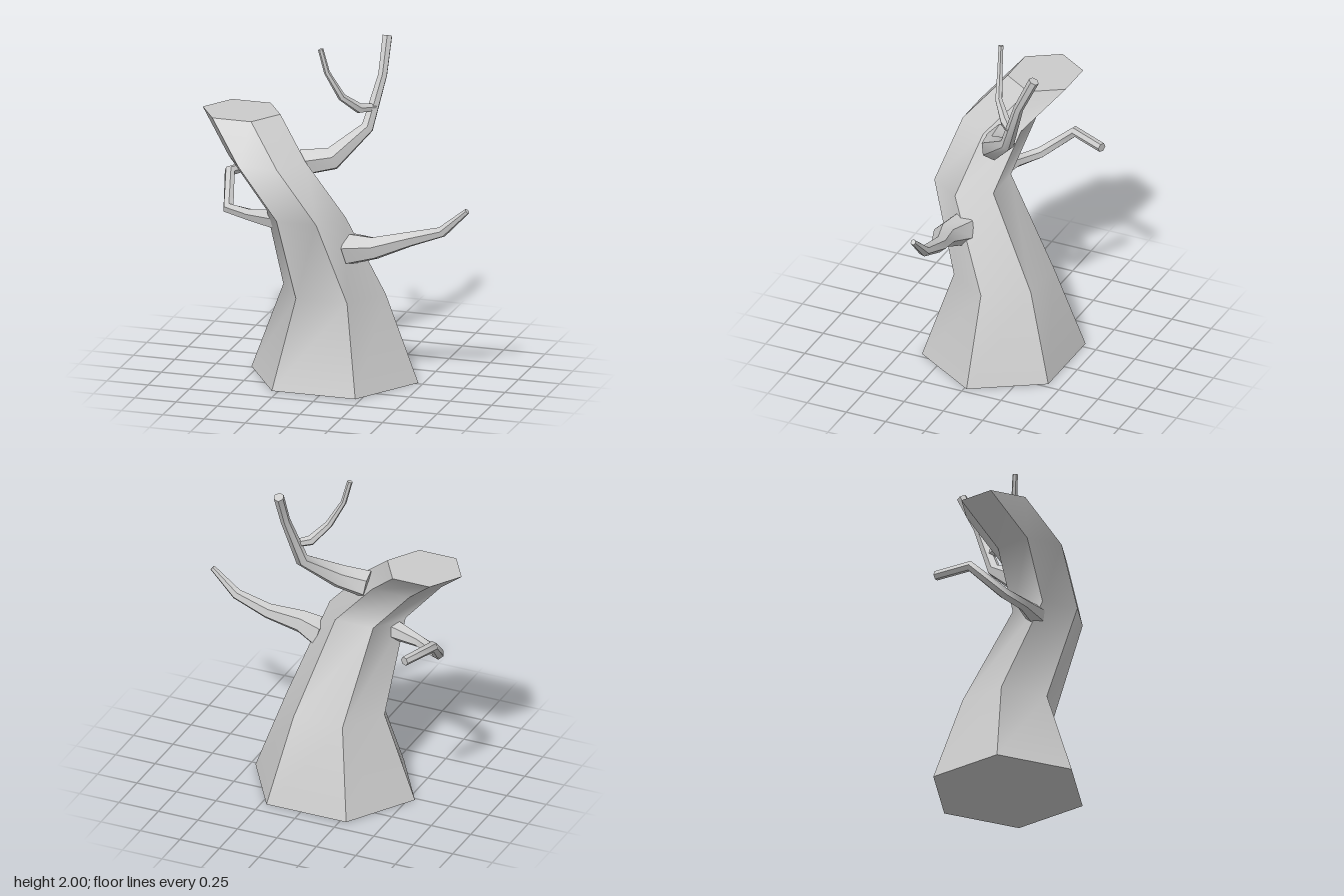
import * as THREE from 'three';

const SIDES = 6;
const material = new THREE.MeshStandardMaterial({ color: 0xcccccc });

// Skin a stack of rings: smooth along the length, hard edges between the sides, capped ends.
function loft(name, rings) {
  const pos = [], index = [];
  const add = (p) => pos.push(p.x, p.y, p.z) / 3 - 1;
  for (let j = 0; j < SIDES; j++) {
    const start = pos.length / 3;
    rings.forEach((r) => { add(r[j]); add(r[(j + 1) % SIDES]); });
    for (let i = 0; i < rings.length - 1; i++) {
      const a = start + i * 2;
      index.push(a, a + 2, a + 1, a + 1, a + 2, a + 3);
    }
  }
  const cap = (ring, top) => {
    const s = pos.length / 3;
    ring.forEach(add);
    for (let j = 1; j < SIDES - 1; j++) {
      if (top) index.push(s, s + j + 1, s + j);
      else index.push(s, s + j, s + j + 1);
    }
  };
  cap(rings[0], false);
  cap(rings[rings.length - 1], true);
  const geo = new THREE.BufferGeometry();
  geo.setAttribute('position', new THREE.Float32BufferAttribute(pos, 3));
  geo.setIndex(index);
  geo.computeVertexNormals();
  const mesh = new THREE.Mesh(geo, material);
  mesh.name = name;
  return mesh;
}

// Six points around a centre, spanned by two axis vectors.
function hexRing(c, u, v) {
  return Array.from({ length: SIDES }, (_, j) => {
    const a = (j / SIDES) * Math.PI * 2;
    return c.clone().addScaledVector(u, Math.cos(a)).addScaledVector(v, Math.sin(a));
  });
}

// Tapered limb through [x, y, z, radius] points, each ring square to the path.
function limb(name, path) {
  const pts = path.map(([x, y, z]) => new THREE.Vector3(x, y, z));
  let u = new THREE.Vector3(0, 0.3, 1);
  const rings = pts.map((p, i) => {
    const t = new THREE.Vector3();
    if (i > 0) t.add(p.clone().sub(pts[i - 1]).normalize());
    if (i < pts.length - 1) t.add(pts[i + 1].clone().sub(p).normalize());
    t.normalize();
    u = u.clone().addScaledVector(t, -u.dot(t)).normalize();
    const v = u.clone().cross(t);
    const r = path[i][3];
    return hexRing(p, u.clone().multiplyScalar(r), v.multiplyScalar(r));
  });
  return loft(name, rings);
}

export function createModel() {
  const tree = new THREE.Group();
  tree.name = 'deadTree';

  // Leaning trunk: level rings of [x, y, z, x radius, z radius]
  const trunk = [
    [-0.035, 0, -0.016, 0.505, 0.464],
    [-0.037, 0.52, -0.015, 0.31, 0.283],
    [-0.13, 1.04, 0.227, 0.24, 0.217],
    [-0.385, 1.33, 0.17, 0.235, 0.214],
    [-0.6, 1.545, -0.015, 0.235, 0.214],
  ];
  tree.add(loft('trunk', trunk.map(([x, y, z, rx, rz]) =>
    hexRing(new THREE.Vector3(x, y, z), new THREE.Vector3(rx, 0, 0), new THREE.Vector3(0, 0, rz)))));

  // Low branch on the left side
  tree.add(limb('leftBranch', [
    [0.12, 0.84, 0.18, 0.1],
    [0.28, 0.87, 0.215, 0.07],
    [0.47, 0.925, 0.16, 0.047],
    [0.67, 0.99, 0.16, 0.033],
    [0.822, 1.13, 0.158, 0.017],
  ]));

  // Hooked branch on the right side, bending to the back
  tree.add(limb('rightBranch', [
    [-0.3, 0.975, 0.19, 0.065],
    [-0.5, 0.967, 0.13, 0.037],
    [-0.66, 0.965, 0.045, 0.035],
    [-0.715, 1.125, -0.15, 0.032],
    [-0.63, 1.115, -0.36, 0.028],
  ]));

  // Upper branch and the twig that forks from it
  tree.add(limb('upperBranch', [
    [-0.2, 1.3, 0.075, 0.085],
    [-0.03, 1.33, 0.05, 0.072],
    [0.13, 1.485, -0.115, 0.04],
    [0.19, 1.78, -0.215, 0.029],
    [0.187, 1.985, -0.312, 0.031],
  ]));
  tree.add(limb('twig', [
    [0.165, 1.6, -0.15, 0.024],
    [0.09, 1.605, -0.085, 0.031],
    [0.01, 1.69, -0.005, 0.023],
    [-0.07, 1.84, 0.025, 0.017],
    [-0.105, 1.98, 0.035, 0.016],
  ]));

  return tree;
}
